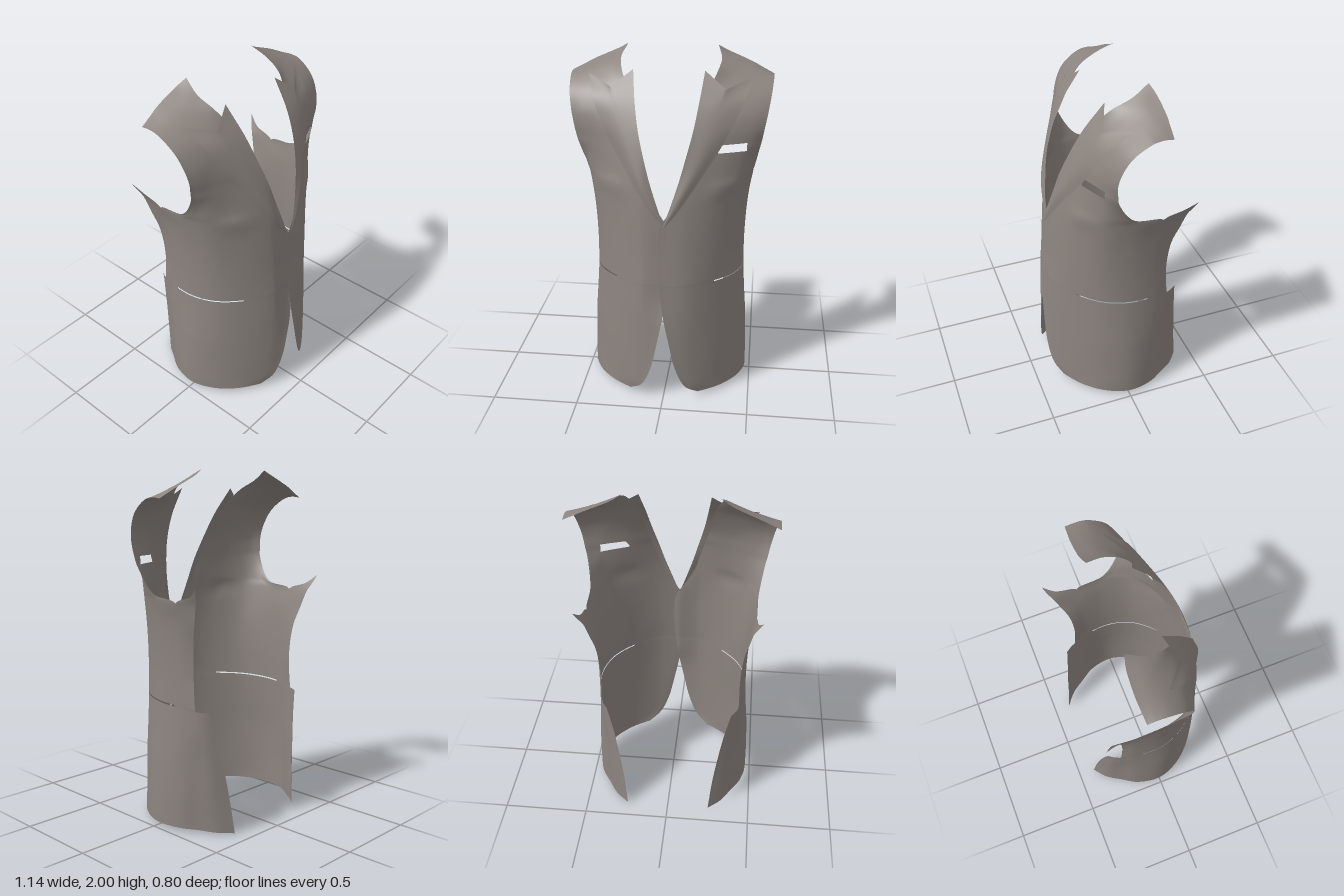
import * as THREE from 'three';
import { mergeVertices } from 'three/addons/utils/BufferGeometryUtils.js';

const cloth = new THREE.MeshStandardMaterial({ color: 0x8c847f, side: THREE.DoubleSide });
cloth.name = 'warm grey cloth';

const N = 12; // columns between two section points
const S = 6;  // rows between two sections

// Sections: [y at first point, y at last point, x, z, x, z, ...], front edge to back edge.
const skirt = [
  [0.025, 0.015, 0.20, 0.34, 0.25, 0.31, 0.33, 0.25, 0.42, 0.14, 0.47, 0, 0.445, -0.15, 0.385, -0.25],
  [0.08, 0.08, 0.13, 0.38, 0.20, 0.345, 0.31, 0.265, 0.42, 0.14, 0.47, 0, 0.445, -0.15, 0.385, -0.25],
  [0.20, 0.20, 0.075, 0.398, 0.17, 0.36, 0.30, 0.272, 0.415, 0.14, 0.468, 0, 0.445, -0.15, 0.387, -0.25],
  [0.40, 0.40, 0.03, 0.40, 0.15, 0.365, 0.30, 0.265, 0.41, 0.14, 0.46, 0, 0.44, -0.15, 0.39, -0.25],
  [0.56, 0.56, 0.0, 0.395, 0.14, 0.365, 0.29, 0.265, 0.40, 0.14, 0.447, 0, 0.435, -0.15, 0.40, -0.25],
  [0.735, 0.70, -0.02, 0.385, 0.13, 0.36, 0.28, 0.265, 0.39, 0.14, 0.436, 0, 0.43, -0.15, 0.403, -0.25],
];
const waist = [
  [0.742, 0.71, -0.021, 0.385, 0.13, 0.36, 0.28, 0.265, 0.39, 0.14, 0.436, 0, 0.43, -0.15, 0.405, -0.247],
  [0.90, 0.90, -0.03, 0.372, 0.12, 0.35, 0.27, 0.27, 0.39, 0.14, 0.435, 0, 0.43, -0.15, 0.405, -0.235],
  [1.08, 1.08, -0.02, 0.36, 0.13, 0.335, 0.27, 0.265, 0.395, 0.145, 0.443, 0, 0.44, -0.15, 0.42, -0.25],
  [1.20, 1.20, 0.05, 0.345, 0.16, 0.315, 0.29, 0.25, 0.41, 0.14, 0.455, 0, 0.455, -0.15, 0.445, -0.285],
  [1.295, 1.295, 0.10, 0.325, 0.20, 0.29, 0.32, 0.235, 0.425, 0.135, 0.47, 0, 0.475, -0.17, 0.465, -0.315],
];
// Neck edge to armhole edge, up to the shoulder seam
const chest = [
  [1.37, 1.335, 0.12, 0.31, 0.22, 0.27, 0.33, 0.215, 0.43, 0.14, 0.47, 0.06, 0.48, 0],
  [1.485, 1.48, 0.152, 0.278, 0.25, 0.235, 0.34, 0.197, 0.42, 0.16, 0.47, 0.13, 0.507, 0.098],
  [1.525, 1.53, 0.162, 0.262, 0.255, 0.224, 0.34, 0.192, 0.42, 0.16, 0.475, 0.135, 0.518, 0.108],
  [1.60, 1.60, 0.18, 0.235, 0.26, 0.205, 0.34, 0.182, 0.42, 0.157, 0.48, 0.138, 0.53, 0.115],
  [1.70, 1.68, 0.20, 0.18, 0.27, 0.165, 0.35, 0.15, 0.43, 0.135, 0.49, 0.12, 0.545, 0.10],
  [1.81, 1.77, 0.225, 0.115, 0.29, 0.105, 0.36, 0.095, 0.43, 0.08, 0.50, 0.065, 0.56, 0.05],
  [1.89, 1.84, 0.262, 0.05, 0.32, 0.02, 0.38, 0.0, 0.45, -0.02, 0.51, -0.035, 0.57, -0.05],
  [1.945, 1.85, 0.28, -0.05, 0.34, -0.065, 0.40, -0.08, 0.46, -0.09, 0.515, -0.10, 0.57, -0.11],
  [2.0, 1.845, 0.255, -0.15, 0.31, -0.165, 0.38, -0.17, 0.45, -0.17, 0.51, -0.165, 0.57, -0.16],
];
// Underarm point that rises behind the armhole
const underarm = [
  [1.34, 1.34, 0.485, -0.29, 0.485, -0.337],
  [1.39, 1.39, 0.51, -0.355, 0.51, -0.356],
];
// Vent tab behind the skirt
const tab = [
  [0.015, 0.0, 0.385, -0.25, 0.33, -0.332, 0.25, -0.40],
  [0.08, 0.08, 0.385, -0.25, 0.333, -0.328, 0.258, -0.392],
  [0.20, 0.20, 0.387, -0.25, 0.342, -0.32, 0.27, -0.378],
  [0.40, 0.40, 0.39, -0.25, 0.357, -0.307, 0.30, -0.357],
  [0.56, 0.56, 0.40, -0.25, 0.373, -0.295, 0.33, -0.335],
  [0.70, 0.70, 0.403, -0.25, 0.387, -0.283, 0.365, -0.315],
];
// Lapel rows as full points: roll edge, middle, outer edge
const lapelRows = [
  [[-0.005, 1.085, 0.366], [-0.003, 1.085, 0.366], [0, 1.085, 0.366]],
  [[0.035, 1.20, 0.352], [0.057, 1.195, 0.357], [0.085, 1.19, 0.346]],
  [[0.08, 1.34, 0.325], [0.13, 1.335, 0.328], [0.183, 1.335, 0.300]],
  [[0.115, 1.47, 0.295], [0.20, 1.48, 0.278], [0.29, 1.50, 0.226]],
  [[0.15, 1.61, 0.245], [0.255, 1.63, 0.218], [0.365, 1.64, 0.178]],
  [[0.175, 1.75, 0.175], [0.29, 1.74, 0.163], [0.42, 1.76, 0.115]],
  [[0.197, 1.90, 0.065], [0.315, 1.81, 0.115], [0.455, 1.857, 0.0]],
];

const spline = (pts, n) => new THREE.CatmullRomCurve3(pts).getPoints(n * (pts.length - 1));

// Smooth row of points through one section
function sectionRow(s, bend = 1) {
  const count = (s.length - 2) / 2;
  const pts = [];
  for (let i = 0; i < count; i++) {
    const t = Math.pow(i / (count - 1), bend);
    pts.push(new THREE.Vector3(s[2 + 2 * i], s[0] + (s[1] - s[0]) * t, s[3 + 2 * i]));
  }
  return spline(pts, N);
}

// Skin a stack of rows; returns grid[row][column]
function loft(rows) {
  const columns = rows[0].map((_, c) => spline(rows.map((r) => r[c]), S));
  return columns[0].map((_, r) => columns.map((col) => col[r]));
}

// Triangulate grids into one smooth geometry; cut(row, centre) opens a hole
function skin(grids, side, cut = () => false) {
  const pos = [], index = [];
  for (const g of grids) {
    const base = pos.length / 3, w = g[0].length;
    for (const row of g) for (const p of row) {
      // the right front tucks under the left one along the closure
      const tuck = side < 0 && p.y > 0.5 ? 0.02 * Math.max(0, 1 - Math.abs(p.x) / 0.12) : 0;
      pos.push(side * p.x, p.y, p.z - tuck * Math.min(1, (p.y - 0.5) / 0.15));
    }
    for (let r = 0; r < g.length - 1; r++) for (let c = 0; c < w - 1; c++) {
      const centre = g[r][c].clone().add(g[r + 1][c + 1]).multiplyScalar(0.5);
      if (cut(r, centre)) continue;
      const a = base + r * w + c, b = a + 1, d = a + w, e = d + 1;
      if (side > 0) index.push(a, b, e, a, e, d);
      else index.push(a, e, b, a, d, e);
    }
  }
  const geo = new THREE.BufferGeometry();
  geo.setAttribute('position', new THREE.Float32BufferAttribute(pos, 3));
  geo.setIndex(index);
  const merged = mergeVertices(geo, 1e-4);
  merged.computeVertexNormals();
  return merged;
}

function buildFront(side) {
  const group = new THREE.Group();
  group.name = side > 0 ? 'leftFront' : 'rightFront';

  // Main panel: front with chest, side with underarm point, vent tab
  const body = [...skirt, ...waist].map((s) => sectionRow(s, 2));
  const m = 5 * N;
  const front = loft([...body.map((r) => r.slice(0, m + 1)), ...chest.map((s) => sectionRow(s))]);
  const flank = loft([...body.map((r) => r.slice(m)), ...underarm.map((s) => sectionRow(s))]);
  const vent = loft(tab.map((s) => sectionRow(s)));
  // share the seam points so the shading runs through
  for (let r = 0; r <= (body.length - 1) * S; r++) flank[r][0] = front[r][m];
  vent.forEach((row, r) => { row[0] = flank[r][N]; });

  const hipRow = skirt.length - 1;       // hip pocket slit
  const breastRow = body.length + 1;     // breast pocket opening, left front only
  const cut = (r, p) => {
    const k = Math.floor(r / S);
    if (k === hipRow) return p.z > -0.12 && p.z < 0.265;
    return side > 0 && k === breastRow && p.y > 1.4 && p.x > 0.28 && p.x < 0.437;
  };
  const panel = new THREE.Mesh(skin([front, flank, vent], side, cut), cloth);
  panel.name = 'frontPanel';

  // Peaked lapel; its top row keeps a sharp notch
  const rows = lapelRows.map((row, i) => {
    const p = row.map((q) => new THREE.Vector3(...q));
    if (i < lapelRows.length - 1) return spline(p, N);
    return Array.from({ length: 2 * N + 1 }, (_, c) => (c <= N
      ? p[0].clone().lerp(p[1], c / N) : p[1].clone().lerp(p[2], c / N - 1)));
  });
  const lapel = new THREE.Mesh(skin([loft(rows)], side), cloth);
  lapel.name = 'lapel';

  group.add(panel, lapel);
  return group;
}

export function createModel() {
  const model = new THREE.Group();
  model.name = 'waistcoatFronts';
  model.add(buildFront(1), buildFront(-1));
  return model;
}
